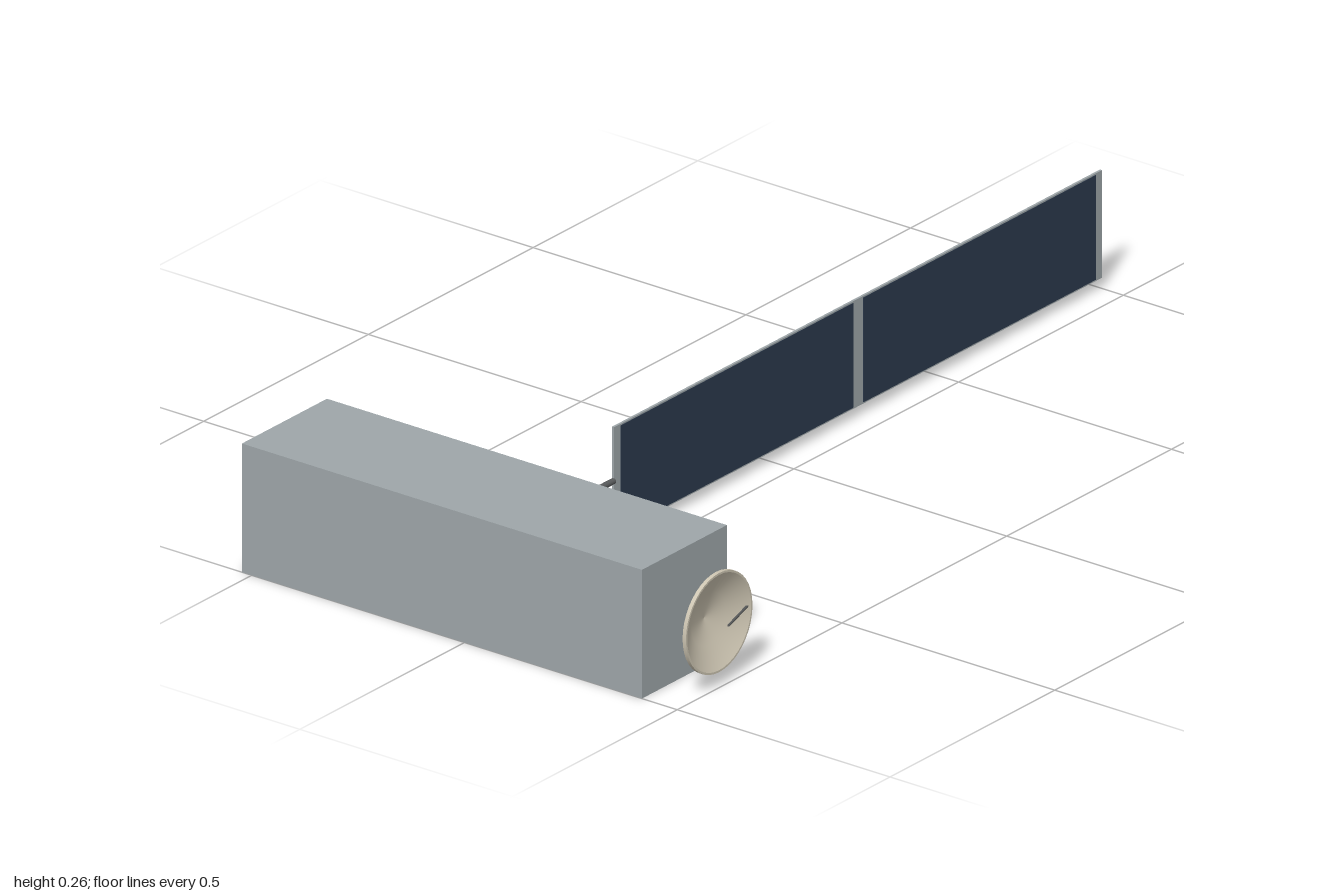
import * as THREE from 'three';

const material = (name, color, side = THREE.FrontSide) => {
  const m = new THREE.MeshStandardMaterial({ color, side });
  m.name = name;
  return m;
};

export function createModel() {
  const hull = material('hull grey', 0x9ea6a9);
  const cell = material('solar navy', 0x2b394d);
  const dark = material('dark metal', 0x595b5c);
  const cream = material('dish cream', 0xcdc5b2, THREE.DoubleSide);

  const model = new THREE.Group();
  model.name = 'satellite';
  const midY = 0.131, dishX = -0.87, panelZ = -0.052;

  const add = (name, geometry, mat, x = 0, y = 0, z = 0) => {
    const mesh = new THREE.Mesh(geometry, mat);
    mesh.name = name;
    mesh.position.set(x, y, z);
    model.add(mesh);
    return mesh;
  };
  const box = (name, mat, x0, x1, y0, y1, z0, z1) =>
    add(name, new THREE.BoxGeometry(x1 - x0, y1 - y0, z1 - z0), mat,
      (x0 + x1) / 2, (y0 + y1) / 2, (z0 + z1) / 2);
  const rod = (name, a, b, radius) => {
    const dir = b.clone().sub(a);
    const mesh = add(name, new THREE.CylinderGeometry(radius, radius, dir.length(), 12), dark);
    mesh.position.copy(a).add(b).multiplyScalar(0.5);
    mesh.quaternion.setFromUnitVectors(new THREE.Vector3(0, 1, 0), dir.normalize());
  };

  // Long rectangular body
  box('body', hull, -1, -0.742, 0, 0.262, -0.523, 0.417);

  // Single solar wing: boom, backing panel and two cell fields
  rod('boom', new THREE.Vector3(-0.745, midY, panelZ), new THREE.Vector3(-0.48, midY, panelZ), 0.006);
  box('solarPanel', hull, -0.481, 1, 0.022, 0.241, panelZ - 0.003, panelZ + 0.002);
  for (const [x0, x1] of [[-0.462, 0.244], [0.275, 0.981]]) {
    box('solarCells', cell, x0, x1, 0.025, 0.238, panelZ + 0.002, panelZ + 0.003);
  }

  // Dish opening toward the front: conical back, short rim, shallow bowl
  const profile = [[0, 0.447], [0.101, 0.49], [0.101, 0.498], [0.097, 0.498], [0.052, 0.473], [0, 0.462]];
  const outline = [];
  profile.forEach(([r, z], i) => {
    outline.push(new THREE.Vector2(r, z));
    // repeated points keep the rim edges crisp
    if (i > 0 && i < 4) outline.push(new THREE.Vector2(r, z));
  });
  const dish = add('dish', new THREE.LatheGeometry(outline, 40), cream, dishX, midY, 0);
  dish.rotation.x = Math.PI / 2;

  // Feed arm from the rim to the focus
  rod('feedArm', new THREE.Vector3(dishX + 0.098, midY, 0.491),
    new THREE.Vector3(dishX, midY, 0.52), 0.0025);

  return model;
}
